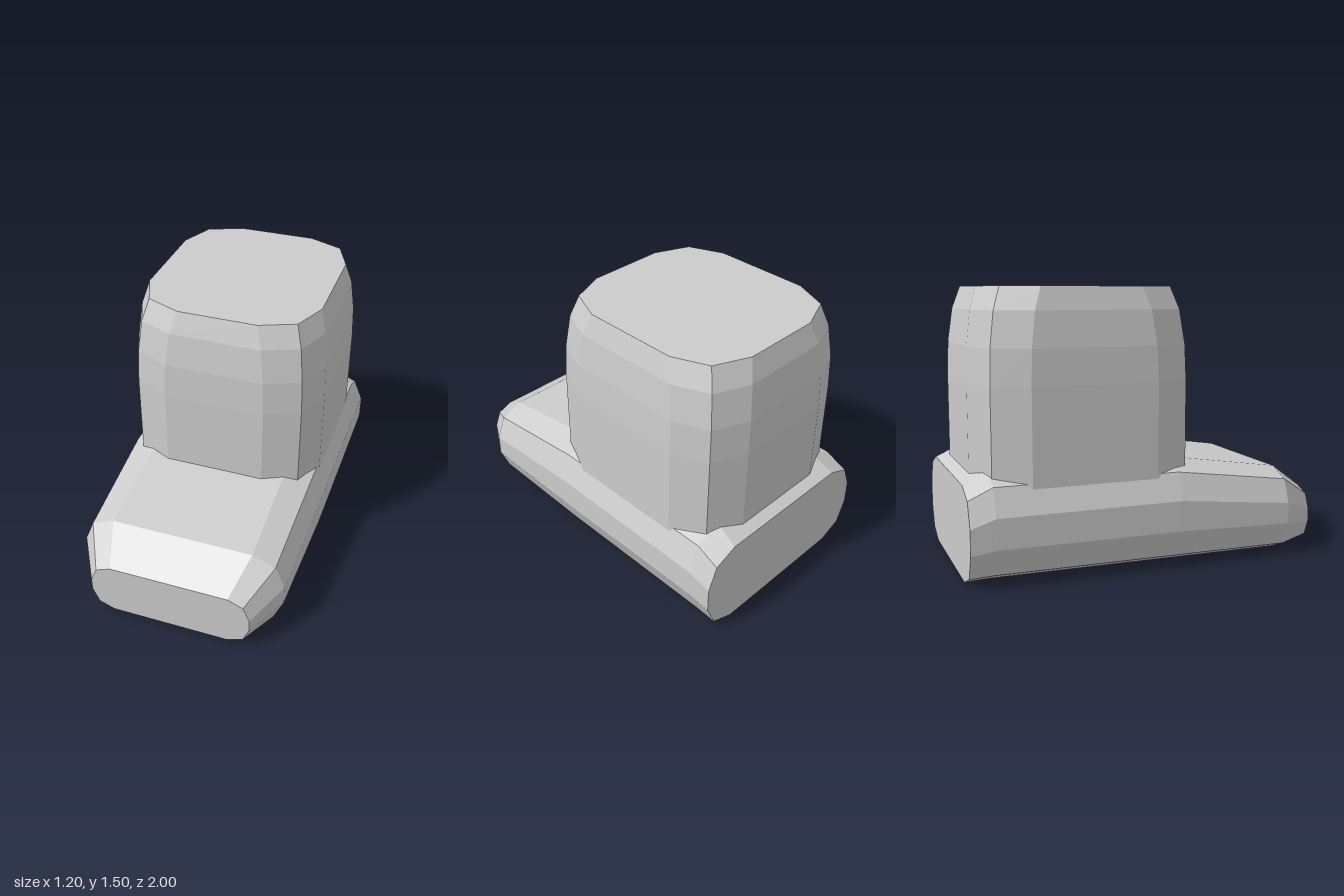
import * as THREE from 'three';

// Rounded rectangle, counter-clockwise, two facets per corner
function ring(hu, hv, r) {
  const pts = [];
  for (let c = 0; c < 4; c++) {
    const su = c === 0 || c === 3 ? 1 : -1;
    const sv = c < 2 ? 1 : -1;
    for (let k = 0; k < 3; k++) {
      const a = (c * 2 + k) * Math.PI / 4;
      pts.push([su * (hu - r) + r * Math.cos(a), sv * (hv - r) + r * Math.sin(a)]);
    }
  }
  return pts;
}

// Faceted, capped loft through rings of equal point count
function loft(rings) {
  const pos = [];
  const tri = (...pts) => pts.forEach((p) => pos.push(...p));
  const n = rings[0].length;
  for (let i = 0; i < rings.length - 1; i++) {
    for (let j = 0; j < n; j++) {
      const k = (j + 1) % n;
      const a = rings[i][j], b = rings[i][k], c = rings[i + 1][k], d = rings[i + 1][j];
      tri(a, b, c);
      tri(a, c, d);
    }
  }
  const first = rings[0], last = rings[rings.length - 1];
  for (let j = 1; j < n - 1; j++) {
    tri(first[0], first[j + 1], first[j]);
    tri(last[0], last[j], last[j + 1]);
  }
  const geo = new THREE.BufferGeometry();
  geo.setAttribute('position', new THREE.Float32BufferAttribute(pos, 3));
  geo.computeVertexNormals();
  return geo;
}

export function createModel() {
  const group = new THREE.Group();
  const grey = new THREE.MeshStandardMaterial({ color: 0xcccccc });
  grey.name = 'light grey';

  // Long low base: z, half width, bottom, top, corner radius
  const baseRings = [
    [-1, 0.595, 0, 0.505, 0.185],
    [-0.87, 0.6, 0, 0.57, 0.205],
    [0.13, 0.6, 0, 0.575, 0.205],
    [0.79, 0.575, 0, 0.477, 0.18],
    [1, 0.45, 0.025, 0.335, 0.12],
  ].map(([z, hx, y0, y1, r]) =>
    ring(hx, (y1 - y0) / 2, r).map(([u, v]) => [u, v + (y0 + y1) / 2, z]));
  const base = new THREE.Mesh(loft(baseRings), grey);
  base.name = 'base';

  // Upright block tapering at the top: y, half width, half depth
  const towerRings = [
    [0.3, 0.55, 0.61],
    [1.0, 0.55, 0.61],
    [1.19, 0.543, 0.604],
    [1.375, 0.522, 0.58],
    [1.495, 0.488, 0.54],
  ].map(([y, hx, hz]) =>
    ring(hx, hz, 0.27).map(([u, v]) => [u, y, -v - 0.33]));
  const tower = new THREE.Mesh(loft(towerRings), grey);
  tower.name = 'tower';

  group.add(base, tower);
  return group;
}
